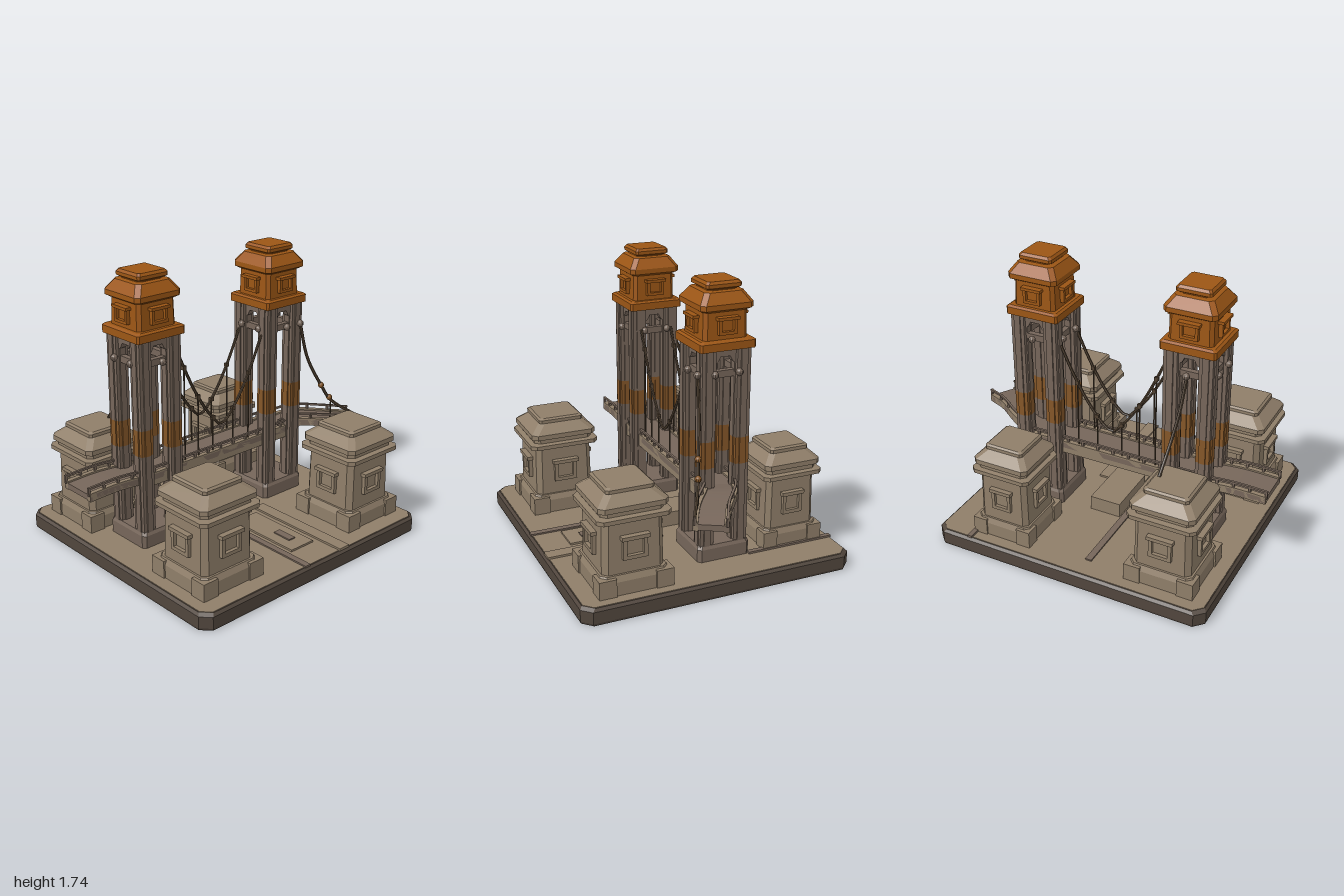
import * as THREE from 'three';

const mat = (color) => new THREE.MeshStandardMaterial({ color, flatShading: true, side: THREE.DoubleSide });
const STONE = mat(0x8f7e69), DARK = mat(0x76665a), BASE = mat(0x51463d);
const ORANGE = mat(0x9c5615), RUST = mat(0x845628), CABLE = mat(0x4f4030);

function add(parent, name, geometry, material, x = 0, y = 0, z = 0) {
  const m = new THREE.Mesh(geometry, material);
  m.name = name;
  m.position.set(x, y, z);
  parent.add(m);
  return m;
}

// Box given by its limits on each axis
function box(parent, name, [x0, x1], [y0, y1], [z0, z1], material = STONE) {
  return add(parent, name, new THREE.BoxGeometry(x1 - x0, y1 - y0, z1 - z0), material,
    (x0 + x1) / 2, (y0 + y1) / 2, (z0 + z1) / 2);
}

// Stack of chamfered rectangles: rings are [halfX, y, halfZ = halfX]
function stack(rings, c) {
  const pos = [], n = 8;
  const loops = rings.map(([a, y, b = a]) => [
    [a, b - c], [a, c - b], [a - c, -b], [c - a, -b], [-a, c - b], [-a, b - c], [c - a, b], [a - c, b],
  ].map(([x, z]) => [x, y, z]));
  const tri = (...p) => p.forEach((v) => pos.push(...v));
  for (let r = 0; r + 1 < loops.length; r++) {
    for (let i = 0; i < n; i++) {
      const j = (i + 1) % n, a = loops[r], b = loops[r + 1];
      tri(a[i], a[j], b[j]);
      tri(a[i], b[j], b[i]);
    }
  }
  const lo = loops[0], hi = loops[loops.length - 1];
  for (let i = 1; i < n - 1; i++) {
    tri(lo[0], lo[i + 1], lo[i]);
    tri(hi[0], hi[i], hi[i + 1]);
  }
  const g = new THREE.BufferGeometry();
  g.setAttribute('position', new THREE.Float32BufferAttribute(pos, 3));
  g.computeVertexNormals();
  return g;
}

// Framed window with sill and recessed pane on each of the four sides
function windows(parent, half, y, w, h, material) {
  for (let i = 0; i < 4; i++) {
    const side = new THREE.Group();
    side.name = 'window';
    side.rotation.y = i * Math.PI / 2;
    const t = w * 0.16, z = [half - 0.01, half + 0.025];
    for (const s of [-1, 1]) {
      const x = s * (w - t) / 2;
      box(side, 'windowJamb', [x - t / 2, x + t / 2], [y - h / 2, y + h / 2], z, material);
    }
    box(side, 'windowLintel', [-w / 2 - 0.01, w / 2 + 0.01], [y + h / 2 - t, y + h / 2], [half - 0.01, half + 0.035], material);
    box(side, 'windowSill', [-w / 2, w / 2], [y - h / 2, y - h / 2 + t], z, material);
    box(side, 'windowPane', [-w / 2, w / 2], [y - h / 2, y + h / 2], [half - 0.01, half + 0.004], material);
    parent.add(side);
  }
}

function anchorHouse(x, z, s) {
  const g = new THREE.Group();
  g.name = 'anchorHouse';
  g.position.set(x, 0.1, z);
  g.scale.set(s, 1, s);
  add(g, 'plinth', stack([[0.205, 0], [0.205, 0.085], [0.19, 0.12], [0.175, 0.12]], 0.03), STONE);
  for (const a of [-1, 1]) for (const b of [-1, 1]) {
    box(g, 'cornerBlock', [a * 0.165 - 0.05, a * 0.165 + 0.05], [0, 0.11], [b * 0.165 - 0.05, b * 0.165 + 0.05]);
  }
  add(g, 'walls', stack([[0.178, 0.11], [0.172, 0.46]], 0.03), STONE);
  add(g, 'cornice', stack([[0.18, 0.425], [0.212, 0.435], [0.212, 0.46], [0.18, 0.465], [0.18, 0.49],
    [0.2, 0.495], [0.2, 0.525], [0.135, 0.58], [0.115, 0.585]], 0.03), STONE);
  add(g, 'roofCap', stack([[0.11, 0.575], [0.138, 0.58], [0.138, 0.6], [0.125, 0.61]], 0.015), STONE);
  windows(g, 0.173, 0.275, 0.14, 0.14, STONE);
  return g;
}

function tower(z) {
  const g = new THREE.Group();
  g.name = 'tower';
  g.position.set(-0.115, 0, z);
  add(g, 'pedestal', stack([[0.165, 0.1], [0.165, 0.18], [0.155, 0.2]], 0.02), DARK);
  // Legs with a rusted stretch and a raised outer rib
  for (const sx of [-1, 1]) for (const sz of [-1, 1]) {
    for (const [y0, y1, m] of [[0.12, 0.68, DARK], [0.68, 0.84, RUST], [0.84, 1.38, DARK]]) {
      const x = sx * 0.107, q = sz * 0.107;
      box(g, 'leg', [x - 0.042, x + 0.042], [y0, y1], [q - 0.042, q + 0.042], m);
      box(g, 'legRib', [x - 0.05, x + 0.05], [y0, y1], [q - 0.02, q + 0.02], m);
      box(g, 'legRib', [x - 0.02, x + 0.02], [y0, y1], [q - 0.05, q + 0.05], m);
    }
  }
  // Cross beams, and arched brackets under the head
  const arch = new THREE.Shape();
  arch.moveTo(-0.075, 1.27).lineTo(-0.045, 1.29).lineTo(-0.03, 1.32).lineTo(0.03, 1.32)
    .lineTo(0.045, 1.29).lineTo(0.075, 1.27).lineTo(0.075, 1.37).lineTo(-0.075, 1.37).closePath();
  const archGeo = new THREE.ExtrudeGeometry(arch, { depth: 0.04, bevelEnabled: false });
  for (let i = 0; i < 4; i++) {
    const side = new THREE.Group();
    side.name = 'towerSide';
    side.rotation.y = i * Math.PI / 2;
    box(side, 'crossBeam', [-0.1, 0.1], [1.2, 1.24], [0.09, 0.125], DARK);
    add(side, 'archBracket', archGeo, DARK, 0, 0, 0.09);
    g.add(side);
  }
  // Orange head
  add(g, 'headLedge', stack([[0.15, 1.36], [0.17, 1.365], [0.17, 1.41], [0.155, 1.42]], 0.012), ORANGE);
  add(g, 'headWalls', stack([[0.135, 1.41], [0.13, 1.6]], 0.02), ORANGE);
  add(g, 'headRoof', stack([[0.135, 1.575], [0.16, 1.59], [0.16, 1.62], [0.118, 1.68], [0.09, 1.685], [0.09, 1.7]], 0.025), ORANGE);
  add(g, 'headCap', stack([[0.09, 1.69], [0.107, 1.7], [0.107, 1.72], [0.095, 1.735]], 0.012), ORANGE);
  windows(g, 0.133, 1.5, 0.11, 0.1, ORANGE);
  // Cable knobs
  const knob = new THREE.SphereGeometry(0.022, 10, 8);
  for (const s of [-1, 1]) {
    add(g, 'knob', knob, DARK, s * 0.168, 1.23, 0);
    for (const sz of [-1, 1]) add(g, 'knob', knob, DARK, s * 0.075, 1.23, sz * 0.155);
  }
  return g;
}

function cable(parent, points, r = 0.008) {
  const curve = new THREE.CatmullRomCurve3(points.map((p) => new THREE.Vector3(...p)));
  add(parent, 'cable', new THREE.TubeGeometry(curve, 28, r, 6), CABLE);
}

// Curved deck strip: a rectangle (half width, bottom, top) carried along a path
function deckStrip(parent, name, path, off, half, y0, y1, material) {
  const n = 16, pos = [], index = [];
  for (let i = 0; i <= n; i++) {
    const p = path.getPoint(i / n), t = path.getTangent(i / n);
    const s = new THREE.Vector3(-t.z, 0, t.x).normalize();
    for (const [w, y] of [[off - half, y0], [off + half, y0], [off + half, y1], [off - half, y1]]) {
      pos.push(p.x + s.x * w, p.y + y, p.z + s.z * w);
    }
    if (i < n) for (let k = 0; k < 4; k++) {
      const a = i * 4 + k, b = i * 4 + (k + 1) % 4;
      index.push(a, a + 4, b, b, a + 4, b + 4);
    }
  }
  const e = n * 4;
  index.push(0, 1, 2, 0, 2, 3, e, e + 2, e + 1, e, e + 3, e + 2);
  const g = new THREE.BufferGeometry();
  g.setAttribute('position', new THREE.Float32BufferAttribute(pos, 3));
  g.setIndex(index);
  g.computeVertexNormals();
  add(parent, name, g, material);
}

export function createModel() {
  const model = new THREE.Group();
  model.name = 'suspensionBridge';

  // Ground slab with raised plots, walls and blocks
  add(model, 'base', stack([[0.835, 0, 0.88], [0.84, 0.015, 0.885], [0.84, 0.085, 0.885], [0.825, 0.1, 0.87]], 0.055), BASE);
  add(model, 'ground', stack([[0.82, 0.09, 0.865], [0.82, 0.103, 0.865]], 0.05), STONE);
  box(model, 'curb', [0.1, 0.83], [0.1, 0.115], [-0.25, -0.17]);
  box(model, 'slab', [0.16, 0.65], [0.1, 0.115], [-0.13, 0.05]);
  box(model, 'slabInset', [0.43, 0.56], [0.11, 0.122], [-0.07, -0.02], DARK);
  box(model, 'lowWall', [-0.83, -0.27], [0.1, 0.115], [-0.66, -0.63], DARK);
  box(model, 'lowWall', [-0.7, 0.83], [0.1, 0.112], [0.08, 0.12], DARK);
  box(model, 'centreBlock', [-0.24, 0.12], [0.1, 0.195], [-0.13, 0.07]);

  // Small post with a pointed top
  const post = [[0, 0], [0.028, 0], [0.028, 0.03], [0.013, 0.04], [0.013, 0.13], [0.026, 0.145], [0.008, 0.175], [0, 0.18]];
  add(model, 'post', new THREE.LatheGeometry(post.map((p) => new THREE.Vector2(...p)), 8), DARK, 0.11, 0.1, 0.28);

  for (const [x, z, s] of [[-0.535, 0.57, 1], [0.5, 0.57, 1.03], [0.5, -0.59, 1.03], [-0.565, -0.46, 0.9]]) {
    model.add(anchorHouse(x, z, s));
  }
  model.add(tower(0.505), tower(-0.48));

  // Straight deck through the front tower, then the curved rear approach
  const v = (x, y, z) => new THREE.Vector3(x, y, z);
  const middle = new THREE.LineCurve3(v(-0.115, 0, 0.64), v(-0.115, 0, -0.6));
  const front = new THREE.CatmullRomCurve3([v(-0.12, 0, 0.6), v(-0.12, 0.015, 0.8), v(-0.12, 0.01, 1)]);
  const rear = new THREE.CatmullRomCurve3([v(-0.115, 0, -0.55), v(-0.06, 0.025, -0.68), v(0.06, 0.015, -0.84), v(0.15, -0.01, -0.995)]);
  for (const [path, half] of [[middle, 0.12], [front, 0.125], [rear, 0.1]]) {
    deckStrip(model, 'deck', path, 0, half, 0.5, 0.535, DARK);
    for (const s of [-1, 1]) {
      deckStrip(model, 'deckGirder', path, s * (half - 0.015), 0.015, path === middle ? 0.465 : 0.495, 0.545, STONE);
      deckStrip(model, 'handrail', path, s * (half - 0.012), 0.007, 0.568, 0.58, DARK);
      for (let i = 0; i <= 12; i++) {
        if (path !== middle && i % 3) continue;
        const p = path.getPoint(i / 12), t = path.getTangent(i / 12);
        const k = s * (half - 0.012) / Math.hypot(t.x, t.z);
        add(model, 'railPost', new THREE.BoxGeometry(0.014, 0.05, 0.014), DARK, p.x - t.z * k, p.y + 0.555, p.z + t.x * k);
      }
    }
  }

  // Main cables and hangers
  const sag = (z) => 0.69 + 0.75 * Math.abs(z) + 2.5 * z * z;
  for (const x of [-0.215, -0.015]) {
    const points = [];
    for (let i = 0; i <= 12; i++) {
      const z = 0.345 - i * 0.67 / 12;
      points.push([x, Math.min(sag(z), 1.24), z]);
    }
    cable(model, points, 0.009);
    for (const z of [0.295, 0.19, 0.075, -0.09, -0.22]) {
      const top = sag(z);
      add(model, 'hanger', new THREE.CylinderGeometry(0.005, 0.005, top - 0.53, 6), CABLE, x, (top + 0.53) / 2, z);
      add(model, 'cableClamp', new THREE.BoxGeometry(0.02, 0.025, 0.025), CABLE, x, top, z);
    }
  }

  // Side cables down to the anchor house and the rear approach
  cable(model, [[-0.285, 1.23, 0.51], [-0.35, 1.03, 0.5], [-0.43, 0.85, 0.48], [-0.535, 0.71, 0.47]], 0.01);
  cable(model, [[0.05, 1.23, -0.6], [0.065, 0.99, -0.66], [0.11, 0.8, -0.745], [0.14, 0.69, -0.81], [0.23, 0.57, -0.96]], 0.01);
  for (const [x, y, z] of [[0.11, 0.8, -0.745], [0.135, 0.71, -0.8]]) {
    add(model, 'cableKnob', new THREE.SphereGeometry(0.02, 10, 8), RUST, x, y, z);
  }
  add(model, 'hanger', new THREE.CylinderGeometry(0.005, 0.005, 0.16, 6), CABLE, 0.14, 0.62, -0.81);
  add(model, 'cableKnob', new THREE.SphereGeometry(0.022, 10, 8), DARK, 0.05, 1.23, -0.6);
  return model;
}
